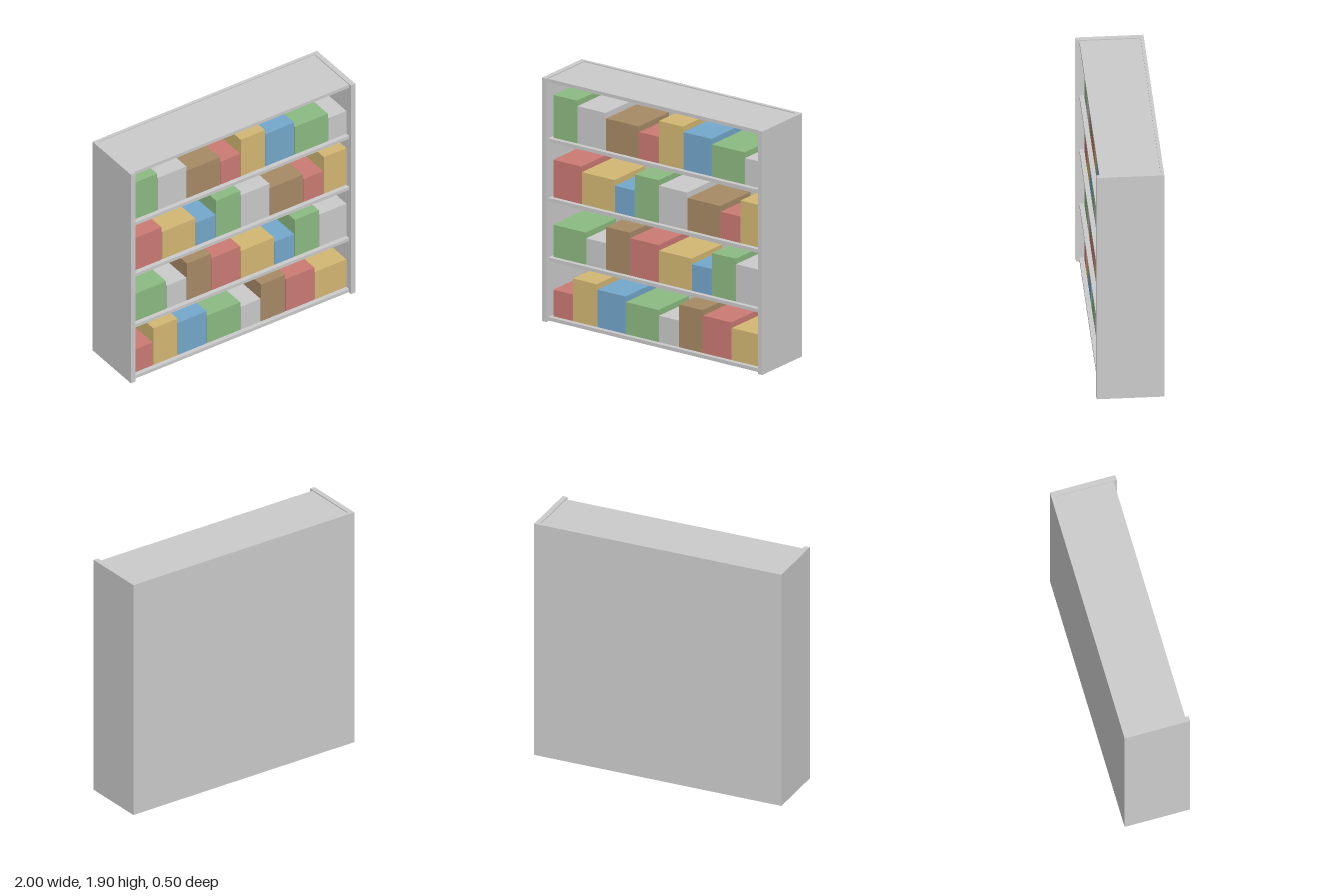
import * as THREE from 'three';

const GREY = 0xcccccc;
// Item kinds: width and height, and the repeating colour order
const SIZES = [[0.18, 0.207], [0.22, 0.333], [0.26, 0.292], [0.30, 0.25]];
const COLORS = [0xcc7a74, 0xd4b873, 0x74a8cc, 0x8cbb82, GREY, 0xa88a66];

const W = 2, H = 1.9, D = 0.5;
const SIDE = 0.04, BACK = 0.025, BOARD = 0.027;
const SHELF_TOP = 0.032, SHELF_STEP = 0.465;

export function createModel() {
  const model = new THREE.Group();
  model.name = 'shelfUnit';
  const materials = new Map();

  const material = (color) => {
    if (!materials.has(color)) materials.set(color, new THREE.MeshStandardMaterial({ color }));
    return materials.get(color);
  };

  // Box given by its lower and upper corners
  const box = (parent, name, [x0, y0, z0], [x1, y1, z1], color = GREY) => {
    const mesh = new THREE.Mesh(new THREE.BoxGeometry(x1 - x0, y1 - y0, z1 - z0), material(color));
    mesh.position.set((x0 + x1) / 2, (y0 + y1) / 2, (z0 + z1) / 2);
    mesh.name = name;
    parent.add(mesh);
  };

  // Carcass: two sides with the back panel between them
  const inner = W / 2 - SIDE;
  box(model, 'leftSide', [inner, 0, -D / 2], [W / 2, H, D / 2]);
  box(model, 'rightSide', [-W / 2, 0, -D / 2], [-inner, H, D / 2]);
  box(model, 'backPanel', [-inner, 0, -D / 2], [inner, H, -D / 2 + BACK]);

  // Five boards, set slightly back from the front; the highest one closes the top
  for (let i = 0; i < 5; i++) {
    const top = SHELF_TOP + i * SHELF_STEP;
    box(model, i === 4 ? 'topBoard' : 'shelf', [-inner, top - BOARD, -D / 2 + BACK], [inner, top, 0.225]);
  }

  // Four rows of boxes, each row shifting the size and colour order
  for (let row = 0; row < 4; row++) {
    const group = new THREE.Group();
    group.name = 'boxRow';
    const y = SHELF_TOP + row * SHELF_STEP;
    let x = -0.94;
    for (let i = 0; i < 8; i++) {
      const [w, h] = SIZES[(i + 3 * row) % 4];
      const color = COLORS[(i + 3 * row) % 6];
      box(group, 'storedBox', [x, y, -0.19], [x + w - 0.005, y + h, 0.19], color);
      x += w;
    }
    model.add(group);
  }
  return model;
}
